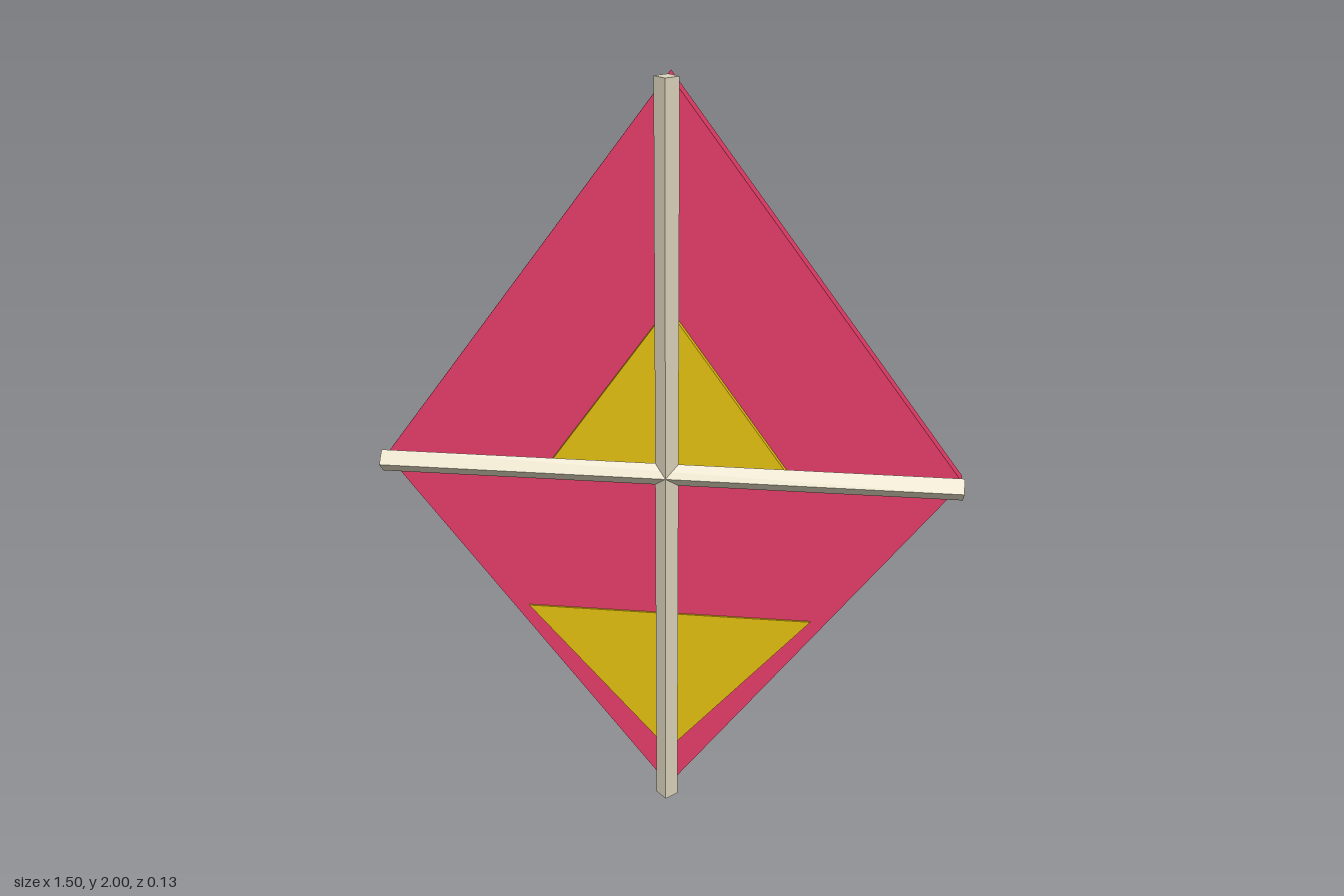
import * as THREE from 'three';

const mat = (name, color) => {
  const m = new THREE.MeshStandardMaterial({ color });
  m.name = name;
  return m;
};

export function createModel() {
  const kite = new THREE.Group();
  kite.name = 'kite';
  const crimson = mat('crimson cloth', 0xe03b66);
  const gold = mat('gold cloth', 0xdebc0e);
  const wood = mat('pale wood', 0xdad2ba);

  // Flat panel cut from an outline, spanning zBack to zFront
  const panel = (name, points, zBack, zFront, material) => {
    const shape = new THREE.Shape(points.map(([x, y]) => new THREE.Vector2(x, y)));
    const geo = new THREE.ExtrudeGeometry(shape, { depth: zFront - zBack, bevelEnabled: false });
    geo.translate(0, 0, zBack);
    const mesh = new THREE.Mesh(geo, material);
    mesh.name = name;
    kite.add(mesh);
  };

  // Diamond sail and its two triangular patches, which show on both sides
  panel('sail', [[0, 0], [0.75, 1], [0, 2], [-0.75, 1]], -0.05, 0, crimson);
  panel('upperPatch', [[-0.31, 1.005], [0.31, 1.005], [0, 1.44]], -0.066, 0.018, gold);
  panel('lowerPatch', [[0, 0.127], [0.383, 0.57], [-0.383, 0.57]], -0.054, 0.005, gold);

  // Square spars turned on edge
  const spar = (name, length) => {
    const geo = new THREE.BoxGeometry(0.0424, length, 0.0424);
    geo.rotateY(Math.PI / 4);
    const mesh = new THREE.Mesh(geo, wood);
    mesh.name = name;
    mesh.position.set(0, 1, 0.036);
    kite.add(mesh);
    return mesh;
  };
  spar('spine', 2);
  spar('crossSpar', 1.5).rotation.z = Math.PI / 2;

  return kite;
}
